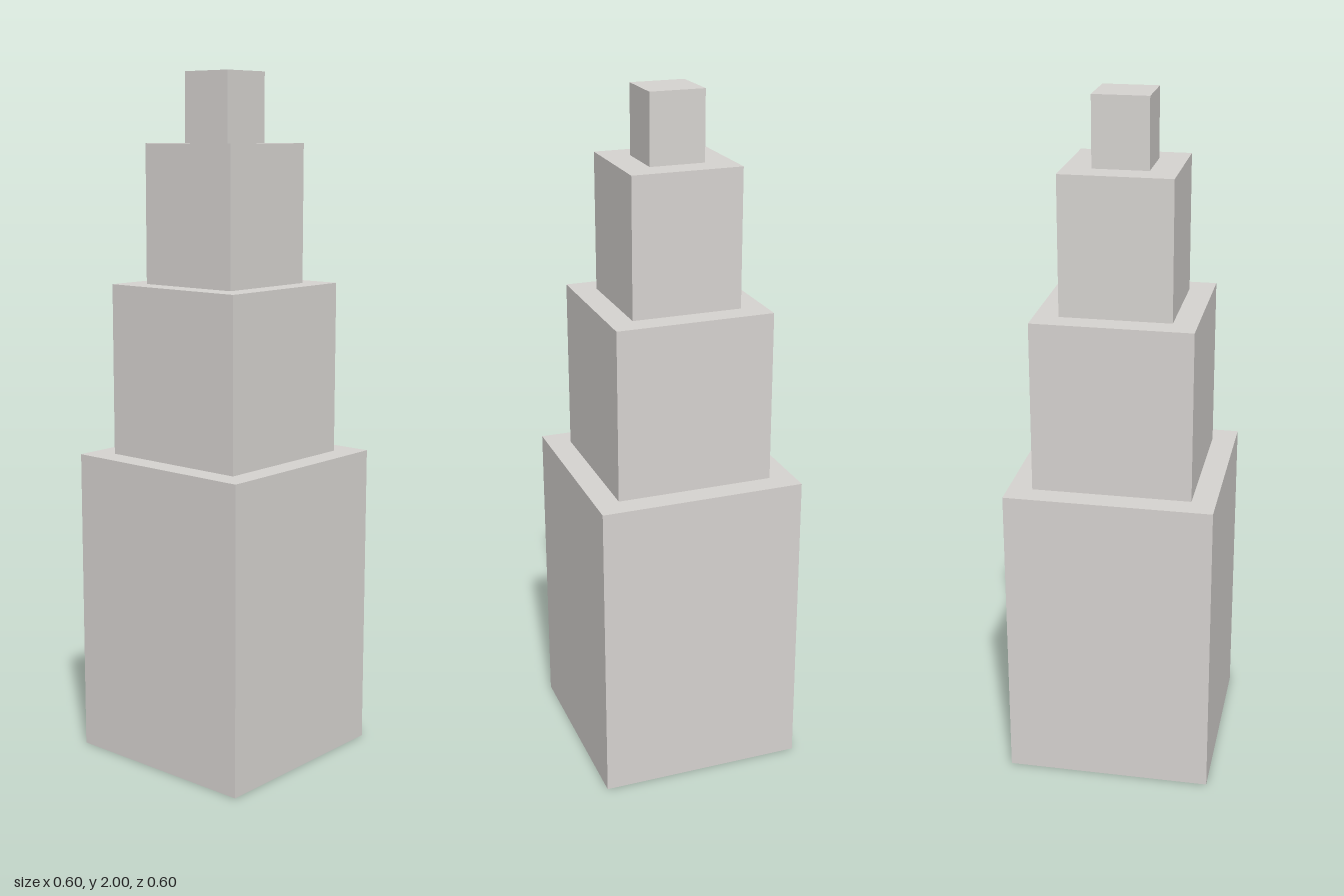
import * as THREE from 'three';

export function createModel() {
  const model = new THREE.Group();
  model.name = 'steppedTower';
  const stone = new THREE.MeshStandardMaterial({ color: 0xd6d3d0 });
  stone.name = 'pale stone grey';

  // Square tiers from the ground up: name, width, bottom, top
  const tiers = [
    ['baseTier', 0.6, 0, 0.9],
    ['lowerTier', 0.46, 0.9, 1.4],
    ['upperTier', 0.32, 1.4, 1.8],
    ['topTier', 0.16, 1.8, 2],
  ];
  for (const [name, width, bottom, top] of tiers) {
    const tier = new THREE.Mesh(new THREE.BoxGeometry(width, top - bottom, width), stone);
    tier.name = name;
    tier.position.y = (bottom + top) / 2;
    model.add(tier);
  }
  return model;
}
